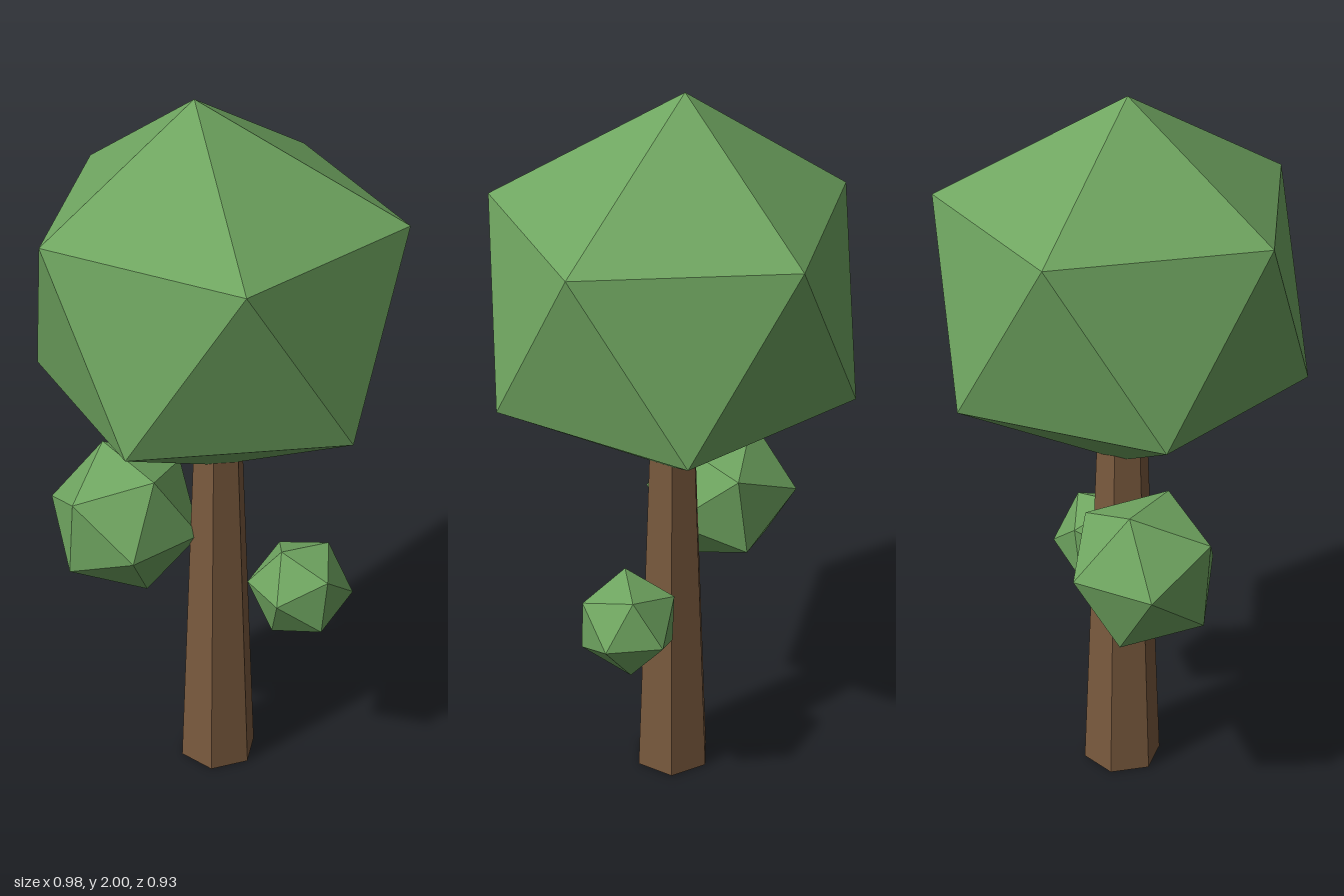
import * as THREE from 'three';

export function createModel() {
  const tree = new THREE.Group();
  tree.name = 'tree';
  const leaf = new THREE.MeshStandardMaterial({ color: 0x6fa560, flatShading: true });
  leaf.name = 'leaf green';
  const bark = new THREE.MeshStandardMaterial({ color: 0x7a5a3e, flatShading: true, side: THREE.DoubleSide });
  bark.name = 'bark brown';

  const add = (name, geometry, material) => {
    const mesh = new THREE.Mesh(geometry, material);
    mesh.name = name;
    tree.add(mesh);
    return mesh;
  };

  // Tapered six-sided trunk, open at the foot
  add('trunk', new THREE.CylinderGeometry(0.07, 0.11, 1, 6, 1, true), bark).position.y = 0.5;

  // Crown: two staggered five-point rings between a leaning tip and a flat base
  const ring = (y, start) => Array.from({ length: 5 }, (_, i) => {
    const a = start + (i * Math.PI * 2) / 5;
    return new THREE.Vector3(0.49 * Math.cos(a), y, 0.49 * Math.sin(a));
  });
  const upper = ring(1.7, 0);
  const lower = ring(1.22, Math.PI / 5);
  const tip = new THREE.Vector3(-0.06, 2, 0);
  const base = new THREE.Vector3(0, 0.95, 0);
  const corners = [];
  for (let i = 0; i < 5; i++) {
    const j = (i + 1) % 5;
    corners.push(tip, upper[j], upper[i]);
    corners.push(upper[i], upper[j], lower[i]);
    corners.push(upper[j], lower[j], lower[i]);
    corners.push(base, lower[i], lower[j]);
  }
  const crown = new THREE.BufferGeometry().setFromPoints(corners);
  crown.computeVertexNormals();
  add('crown', crown, leaf);

  // Side clumps: icosahedra turned so that one edge joins corners a and b
  const clump = (name, radius, x, y, a, b) => {
    const edge = b.clone().sub(a).normalize();
    const side = edge.clone().cross(a.clone().add(b)).normalize();
    const out = side.clone().cross(edge);
    const geometry = new THREE.IcosahedronGeometry(radius, 0);
    geometry.applyMatrix4(new THREE.Matrix4().makeBasis(edge, out, side));
    add(name, geometry, leaf).position.set(x, y, 0);
  };
  const v = (x, y, z) => new THREE.Vector3(x, y, z);
  clump('rightClump', 0.217, -0.26, 0.76, v(13, -5, 38.6), v(-21, 21, 28));
  clump('leftClump', 0.146, 0.23, 0.582, v(-13, 5, 38.6), v(21, -21, 28));

  return tree;
}
